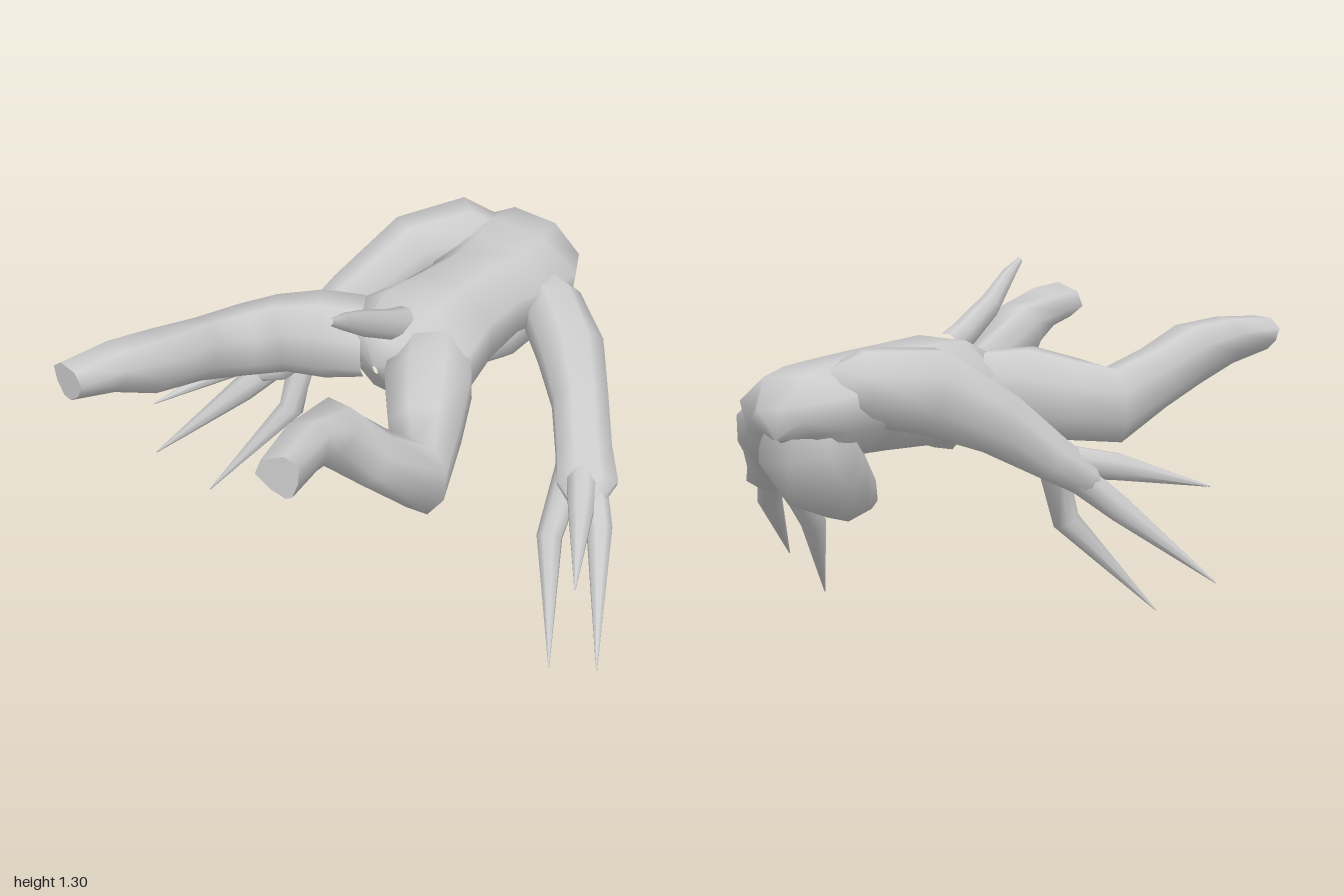
import * as THREE from 'three';

const SIDES = 8;
const X = new THREE.Vector3(1, 0, 0);
const Y = new THREE.Vector3(0, 1, 0);

// Smooth loft through sections [x, y, z, halfWidth, halfHeight, roll, taper];
// taper widens the top of a section and narrows its underside
function loft(sections, up, capped) {
  const pos = [], index = [];
  const centers = sections.map((s) => new THREE.Vector3(s[0], s[1], s[2]));
  const last = sections.length - 1;
  const rings = sections.map(([, , , w, h, roll = 0, taper = 0], i) => {
    const into = centers[Math.max(i, 1)].clone().sub(centers[Math.max(i, 1) - 1]).normalize();
    const out = centers[Math.min(i + 1, last)].clone().sub(centers[Math.min(i, last - 1)]).normalize();
    const t = into.add(out).normalize();
    const side = up.clone().cross(t).normalize().applyAxisAngle(t, roll);
    const rise = t.clone().cross(side);
    return Array.from({ length: SIDES }, (_, j) => {
      const a = ((j + 0.5) / SIDES) * Math.PI * 2;
      return centers[i].clone()
        .addScaledVector(side, w * 1.05 * Math.cos(a) * (1 + taper * Math.sin(a)))
        .addScaledVector(rise, h * 1.05 * Math.sin(a));
    });
  });
  const add = (p) => pos.push(p.x, p.y, p.z) / 3 - 1;
  rings.forEach((ring) => ring.forEach(add));
  for (let i = 0; i < last; i++) {
    for (let j = 0; j < SIDES; j++) {
      const a = i * SIDES + j, b = i * SIDES + ((j + 1) % SIDES);
      index.push(a, b, b + SIDES, a, b + SIDES, a + SIDES);
    }
  }
  // The end cap has its own corners so its edge stays sharp
  if (capped) {
    const c = add(centers[last]);
    rings[last].forEach(add);
    for (let j = 0; j < SIDES; j++) index.push(c, c + 1 + j, c + 1 + ((j + 1) % SIDES));
  }
  const g = new THREE.BufferGeometry();
  g.setAttribute('position', new THREE.Float32BufferAttribute(pos, 3));
  g.setIndex(index);
  g.computeVertexNormals();
  return g;
}

export function createModel() {
  const model = new THREE.Group();
  model.name = 'creature';
  const skin = new THREE.MeshStandardMaterial({ color: 0xcccccc });
  skin.name = 'light grey skin';
  const part = (name, sections, up = Y, capped = false) => {
    const m = new THREE.Mesh(loft(sections, up, capped), skin);
    m.name = name;
    model.add(m);
  };

  // Trunk, from the crotch back to the broad hunched shoulders
  part('torso', [
    [-0.09, 0.88, 0.07, 0.01, 0.02],
    [-0.09, 0.89, 0.04, 0.14, 0.13],
    [-0.08, 0.9, -0.11, 0.275, 0.18],
    [-0.09, 0.9, -0.3, 0.22, 0.175],
    [-0.1, 0.9, -0.5, 0.195, 0.17, 0.06],
    [-0.12, 0.9, -0.64, 0.24, 0.165, 0.12],
    [-0.15, 0.9, -0.78, 0.265, 0.16, 0.14],
    [-0.17, 0.9, -0.9, 0.215, 0.14, 0.1],
    [-0.18, 0.87, -0.96, 0.12, 0.09, 0.1],
    [-0.18, 0.83, -0.985, 0.01, 0.01],
  ]);

  // Head tucked under the shoulders
  part('head', [
    [-0.16, 0.88, -0.82, 0.13, 0.16],
    [-0.17, 0.79, -0.84, 0.16, 0.175],
    [-0.17, 0.7, -0.77, 0.145, 0.165],
    [-0.17, 0.63, -0.66, 0.11, 0.12],
    [-0.17, 0.61, -0.58, 0.06, 0.06],
    [-0.17, 0.64, -0.54, 0.005, 0.005],
  ], X);

  // Short raised tail
  part('tail', [
    [-0.06, 1.03, -0.04, 0.045, 0.06],
    [-0.05, 1.07, 0.04, 0.042, 0.052],
    [-0.03, 1.16, 0.2, 0.035, 0.045],
    [0.01, 1.25, 0.34, 0.022, 0.03],
    [0.03, 1.3, 0.43, 0.008, 0.012],
  ]);

  // Arms
  part('leftArm', [
    [0.02, 0.87, -0.71, 0.1, 0.1],
    [0.11, 0.85, -0.685, 0.115, 0.115],
    [0.27, 0.78, -0.59, 0.12, 0.115],
    [0.42, 0.7, -0.45, 0.1, 0.1],
    [0.53, 0.6, -0.33, 0.1, 0.08],
    [0.6, 0.53, -0.26, 0.11, 0.065],
    [0.65, 0.47, -0.19, 0.04, 0.02],
  ]);
  part('rightArm', [
    [-0.25, 0.97, -0.78, 0.09, 0.09],
    [-0.32, 0.99, -0.72, 0.14, 0.125],
    [-0.41, 0.965, -0.52, 0.12, 0.145],
    [-0.5, 0.84, -0.28, 0.1, 0.11],
    [-0.58, 0.71, -0.1, 0.08, 0.08],
    [-0.64, 0.64, 0.0, 0.085, 0.065],
    [-0.67, 0.6, 0.05, 0.03, 0.02],
  ]);

  // Clawed fingers: base, knuckle, tip
  const fingers = {
    left: [
      [[0.55, 0.57, -0.29], [0.67, 0.52, -0.13], [0.87, 0.45, 0.17]],
      [[0.58, 0.55, -0.3], [0.71, 0.42, -0.19], [0.955, 0.125, 0.14]],
      [[0.51, 0.57, -0.3], [0.54, 0.34, -0.13], [0.74, 0.01, 0.12]],
    ],
    right: [
      [[-0.61, 0.7, -0.07], [-0.71, 0.67, 0.1], [-0.86, 0.58, 0.41]],
      [[-0.61, 0.68, -0.07], [-0.73, 0.53, 0.08], [-0.96, 0.27, 0.32]],
      [[-0.57, 0.7, -0.09], [-0.56, 0.48, 0.0], [-0.757, 0.155, 0.25]],
    ],
  };
  for (const [hand, list] of Object.entries(fingers)) {
    list.forEach(([base, knuckle, tip], i) => part(`${hand}Finger${i + 1}`, [
      [...base, 0.055, 0.055],
      [...knuckle, 0.045, 0.045],
      [...tip, 0.002, 0.002],
    ]));
  }

  // Legs, ending in flat cut feet
  part('leftLeg', [
    [0.03, 0.9, -0.09, 0.14, 0.14],
    [0.1, 0.87, 0.01, 0.155, 0.17],
    [0.2, 0.79, 0.15, 0.128, 0.155],
    [0.295, 0.715, 0.29, 0.1, 0.13],
    [0.23, 0.87, 0.46, 0.085, 0.1],
    [0.175, 1.02, 0.61, 0.09, 0.11, 0, 0.4],
    [0.22, 1.07, 0.77, 0.08, 0.085, 0.3, 0.5],
    [0.28, 1.08, 0.96, 0.07, 0.075, 0.4, 0.6],
  ], Y, true);
  part('rightLeg', [
    [-0.24, 0.9, -0.05, 0.14, 0.14],
    [-0.36, 0.9, 0.03, 0.135, 0.155],
    [-0.5, 0.88, 0.1, 0.11, 0.14],
    [-0.6, 0.86, 0.2, 0.1, 0.13],
    [-0.6, 0.93, 0.42, 0.085, 0.11],
    [-0.59, 0.99, 0.64, 0.09, 0.11, 0, 0.3],
    [-0.63, 1.03, 0.8, 0.082, 0.085, 0, 0.4],
    [-0.665, 1.045, 0.975, 0.077, 0.06, 0, 0.4],
  ], Y, true);

  return model;
}
